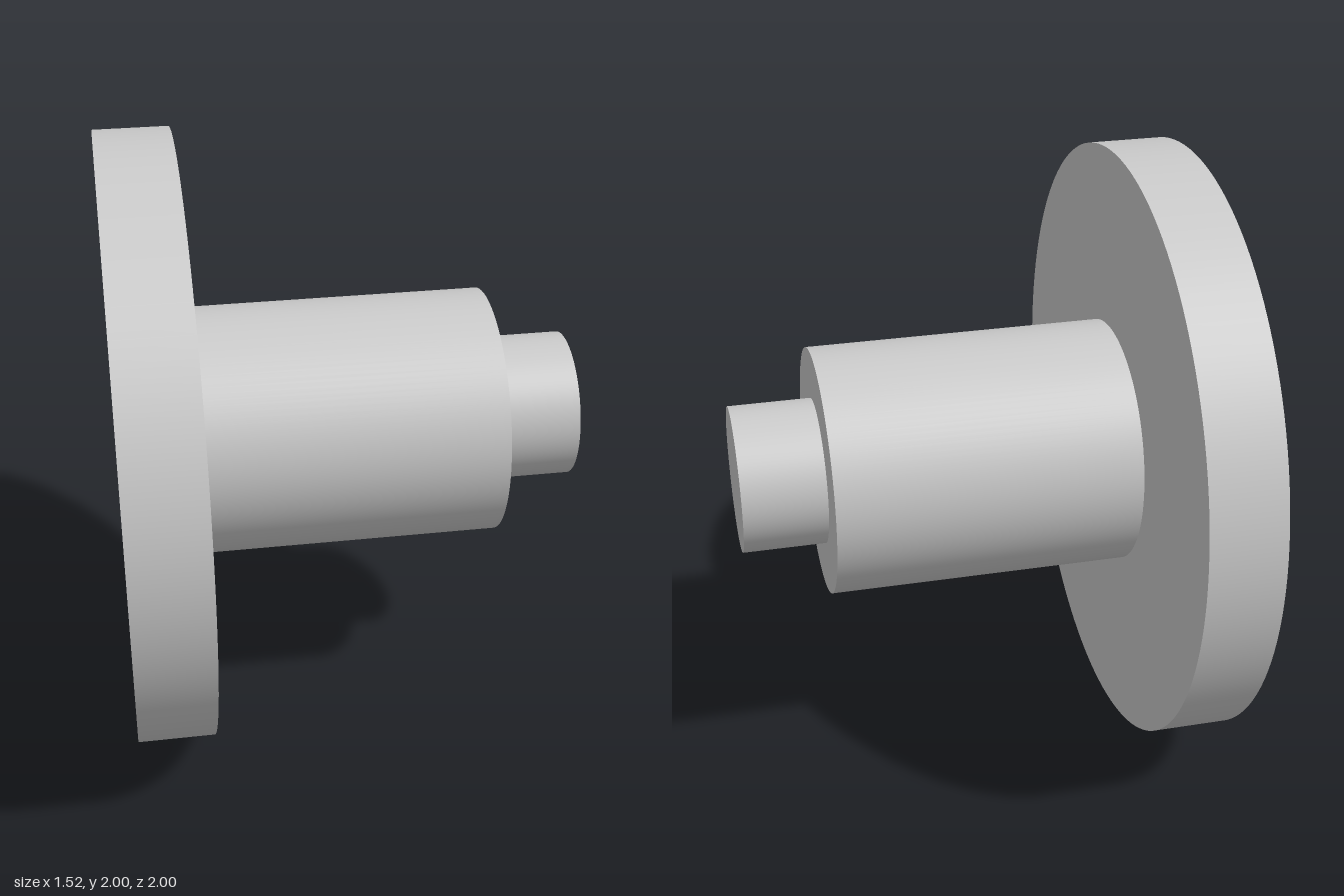
import * as THREE from 'three';

const material = new THREE.MeshStandardMaterial({ color: 0xcccccc });

// A solid round section lying along x, from x0 to x1
function roundSection(name, radius, x0, x1) {
  const geometry = new THREE.CylinderGeometry(radius, radius, x1 - x0, 128);
  geometry.rotateZ(-Math.PI / 2);
  const mesh = new THREE.Mesh(geometry, material);
  mesh.name = name;
  mesh.position.set((x0 + x1) / 2, 1, 0);
  return mesh;
}

export function createModel() {
  const group = new THREE.Group();
  group.name = 'flangedShaft';
  group.add(
    roundSection('flangeDisc', 1, -0.76, -0.514), // wide disc
    roundSection('shaft', 0.41, -0.514, 0.485), // main barrel
    roundSection('endPin', 0.242, 0.485, 0.76) // narrow tip
  );
  return group;
}
